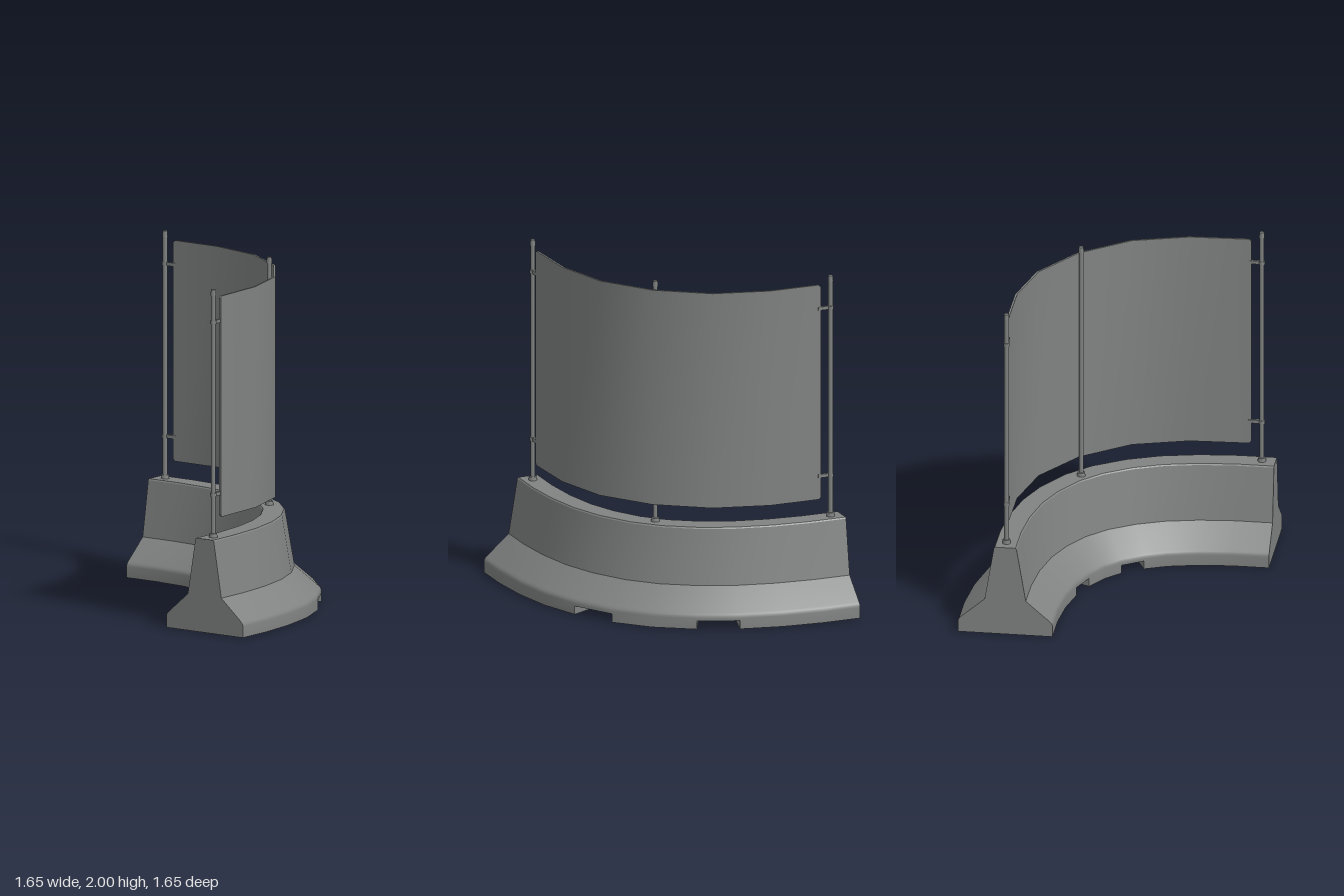
import * as THREE from 'three';
import { toCreasedNormals } from 'three/addons/utils/BufferGeometryUtils.js';

const grey = new THREE.MeshStandardMaterial({ color: 0x808382 });
grey.name = 'concrete grey';

// Sweeps a closed section along [x, z, degrees] stations.
// section(i, seg) lists the outer side, [offset, y] from bottom to top; the inner side mirrors it.
function sweep(path, section, crease, wallsAt = []) {
  const pos = [];
  const at = (i, [o, y]) => {
    const [x, z, deg] = path[i];
    const a = THREE.MathUtils.degToRad(deg);
    return [x + o * Math.sin(a), y, z + o * Math.cos(a)];
  };
  const quad = (a, b, c, d) => pos.push(...a, ...b, ...c, ...a, ...c, ...d);
  const flip = ([o, y]) => [-o, y];
  const cap = (i, side, facesForward) => {
    for (let k = 0; k < side.length - 1; k++) {
      const q = [flip(side[k]), side[k], side[k + 1], flip(side[k + 1])].map(p => at(i, p));
      quad(...(facesForward ? q.reverse() : q));
    }
  };
  const last = path.length - 1;
  for (let i = 0; i < last; i++) {
    const ring = [i, i + 1].map(j => {
      const s = section(j, i);
      return [...s, ...s.map(flip).reverse()];
    });
    const n = ring[0].length;
    for (let k = 0; k < n; k++) {
      const m = (k + 1) % n;
      quad(at(i, ring[0][k]), at(i + 1, ring[1][k]), at(i + 1, ring[1][m]), at(i, ring[0][m]));
    }
  }
  cap(0, section(0, 0), false);
  cap(last, section(last, last - 1), true);
  // side walls of the notches under the base
  for (const { seg, side } of wallsAt) {
    cap(seg, side, true);
    cap(seg + 1, side, false);
  }
  const g = new THREE.BufferGeometry();
  g.setAttribute('position', new THREE.Float32BufferAttribute(pos, 3));
  return toCreasedNormals(g, crease);
}

function add(parent, name, geometry, x = 0, y = 0, z = 0) {
  const mesh = new THREE.Mesh(geometry, grey);
  mesh.name = name;
  mesh.position.set(x, y, z);
  parent.add(mesh);
  return mesh;
}

export function createModel() {
  const model = new THREE.Group();
  model.name = 'curvedBarrierWithScreen';

  // Barrier: half of the bend, mirrored about the diagonal
  const half = [[-0.83, 0.55, 0], [-0.61, 0.549, 1.2], [-0.39, 0.528, 6.3],
    [-0.18, 0.482, 14.5], [0, 0.41, 25.6], [0.172, 0.302, 38.5]];
  const bend = [...half, ...half.map(([x, z, a]) => [z, x, 90 - a]).reverse()];
  const notches = [4, 7], notchTop = 0.05;
  const barrierSide = (i, seg) => [
    [0.275, notches.includes(seg) ? notchTop : 0], [0.275, 0.065], [0.273, 0.076],
    [0.268, 0.085], [0.258, 0.095], [0.12, 0.215], [0.066, 0.54], [0.06, 0.548]];
  const wall = [[0.275, 0], [0.275, notchTop]];
  add(model, 'concreteBarrier',
    sweep(bend, barrierSide, 0.4, notches.map(seg => ({ seg, side: wall }))));

  // Curved screen with slightly clipped corners
  const screenPath = [[-0.69, 0.556, 3], [-0.675, 0.555, 3], [-0.331, 0.538, 10],
    [-0.007, 0.442, 27], [0.273, 0.231, 46], [0.469, -0.058, 66],
    [0.549, -0.382, 83], [0.552, -0.683, 90], [0.552, -0.698, 90]];
  const screenSide = i => {
    const inset = i === 0 || i === screenPath.length - 1 ? 0.013 : 0;
    return [[0.006, 0.657 + inset], [0.006, 1.952 - inset]];
  };
  add(model, 'curvedScreen', sweep(screenPath, screenSide, 0.5));

  // Posts, with brackets reaching from the two end posts to the screen
  const posts = [
    { name: 'frontPost', x: -0.75, z: 0.553, dx: 1, dz: 0 },
    { name: 'middlePost', x: 0.253, z: 0.21 },
    { name: 'rearPost', x: 0.552, z: -0.76, dx: 0, dz: 1 },
  ];
  for (const { name, x, z, dx, dz } of posts) {
    const post = new THREE.Group();
    post.name = name;
    post.position.set(x, 0, z);
    model.add(post);
    add(post, 'pole', new THREE.CylinderGeometry(0.014, 0.014, 1.45, 12), 0, 1.265, 0);
    add(post, 'poleCap', new THREE.CylinderGeometry(0.014, 0.016, 0.035, 12), 0, 1.9825, 0);
    add(post, 'footCollar', new THREE.CylinderGeometry(0.022, 0.025, 0.025, 12), 0, 0.558, 0);
    if (dx === undefined) continue;
    for (const y of [0.797, 1.808]) {
      add(post, 'clamp', new THREE.CylinderGeometry(0.018, 0.018, 0.02, 12), 0, y, 0);
      const arm = add(post, 'bracketArm', new THREE.BoxGeometry(0.075, 0.02, 0.016),
        dx * 0.042, y, dz * 0.042);
      arm.rotation.y = dz ? Math.PI / 2 : 0;
    }
  }
  return model;
}
